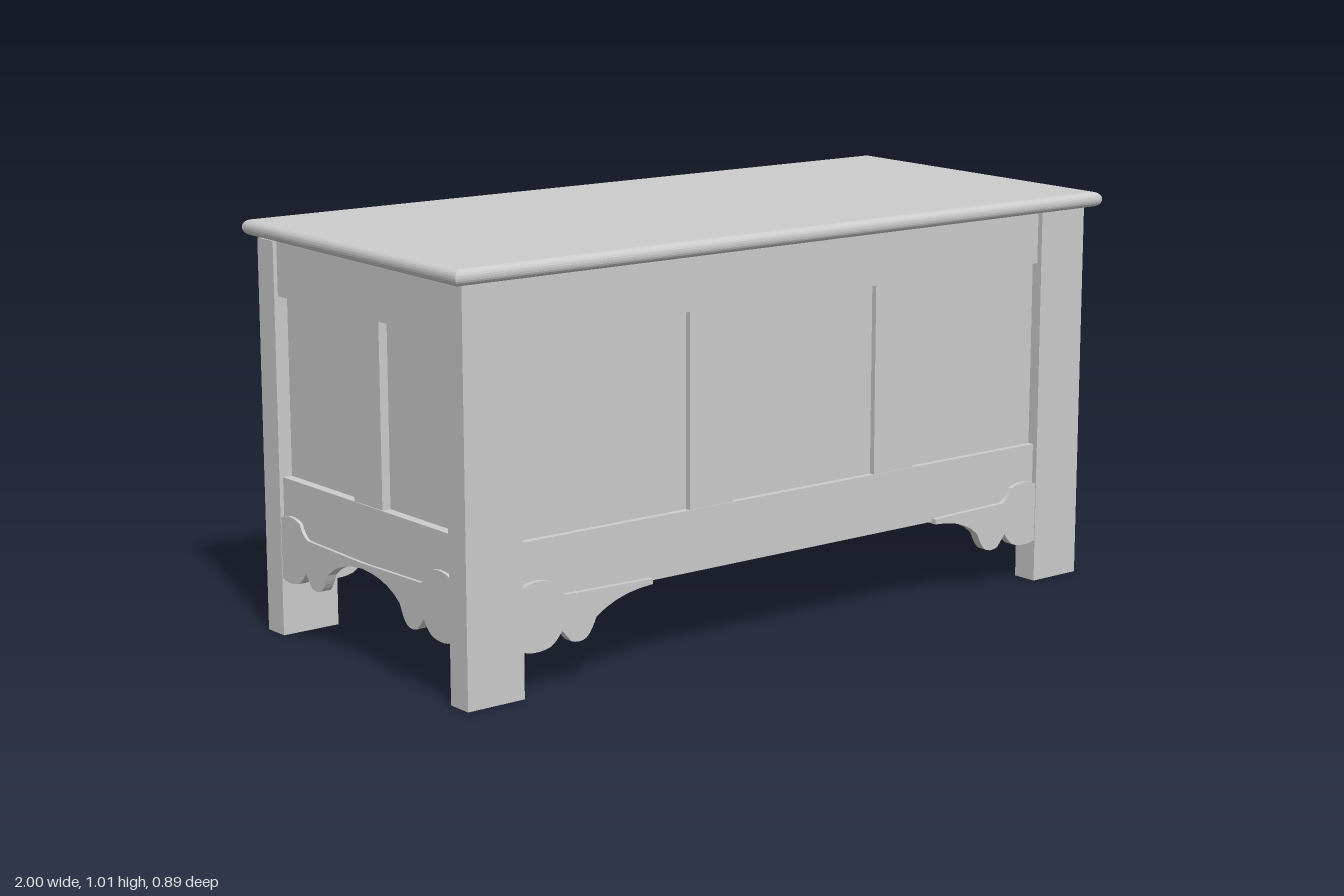
import * as THREE from 'three';

const material = new THREE.MeshStandardMaterial({ color: 0xcccccc });

// Box given by its min/max extents
function box(parent, name, x0, x1, y0, y1, z0, z1) {
  const mesh = new THREE.Mesh(new THREE.BoxGeometry(x1 - x0, y1 - y0, z1 - z0), material);
  mesh.position.set((x0 + x1) / 2, (y0 + y1) / 2, (z0 + z1) / 2);
  mesh.name = name;
  parent.add(mesh);
  return mesh;
}

// Scalloped corner bracket; starts at x = 0, its rail line at y = 0
function bracketGeometry(length, thickness) {
  const s = new THREE.Shape();
  s.moveTo(0, 0.05);
  s.quadraticCurveTo(0.045, 0.068, 0.085, 0.05);
  s.quadraticCurveTo(0.1, 0.02, 0.12, 0.015);
  s.lineTo(length, 0.01);
  s.lineTo(length, -0.003);
  s.quadraticCurveTo(length - 0.1, -0.006, 0.205, -0.052);
  s.quadraticCurveTo(0.19, -0.088, 0.175, -0.097);
  s.quadraticCurveTo(0.155, -0.106, 0.133, -0.097);
  s.lineTo(0.108, -0.068);
  s.quadraticCurveTo(0.09, -0.093, 0.075, -0.1);
  s.quadraticCurveTo(0.035, -0.112, 0, -0.1);
  return new THREE.ExtrudeGeometry(s, { depth: thickness, bevelEnabled: false, curveSegments: 5 })
    .translate(0, 0, -thickness / 2);
}

// Bracket turned about y, with its outer end at (x, y, z)
function bracket(parent, name, length, thickness, x, y, z, turn) {
  const mesh = new THREE.Mesh(bracketGeometry(length, thickness), material);
  mesh.position.set(x, y, z);
  mesh.rotation.y = turn;
  mesh.name = name;
  parent.add(mesh);
}

export function createModel() {
  const chest = new THREE.Group();
  chest.name = 'blanketChest';

  const legX = [[-0.975, -0.82], [0.8, 0.95]];
  const legZ = [[0.365, 0.432], [-0.42, -0.35]];

  // Corner legs
  for (const [x0, x1] of legX)
    for (const [z0, z1] of legZ) box(chest, 'leg', x0, x1, 0, 0.965, z0, z1);

  // Front and back: rails, recessed panel, two stiles and a pair of brackets
  for (const [name, side, rail, panel, face] of [
    ['front', 1, 0.418, 0.402, 0.43],
    ['back', -1, 0.41, 0.394, 0.423],
  ]) {
    const wall = new THREE.Group();
    wall.name = name + 'Wall';
    chest.add(wall);
    const slab = (part, x0, x1, y0, y1, outer, depth) => {
      const z = [side * outer, side * (outer - depth)].sort((a, b) => a - b);
      box(wall, name + part, x0, x1, y0, y1, z[0], z[1]);
    };
    slab('TopRail', -0.83, 0.81, 0.83, 0.965, rail, 0.035);
    slab('BottomRail', -0.83, 0.81, 0.21, 0.36, rail, 0.035);
    slab('Panel', -0.83, 0.81, 0.35, 0.84, panel, 0.015);
    for (const x of [-0.33, 0.25]) slab('Stile', x, x + 0.13, 0.355, 0.835, rail - 0.002, 0.028);
    const z = side * (face - 0.0125);
    bracket(wall, name + 'Bracket', 0.37, 0.025, -0.82, 0.208, z, 0);
    bracket(wall, name + 'Bracket', 0.352, 0.025, 0.8, 0.208, z, Math.PI);
  }

  // Ends: rails, recessed panel and one centre stile
  for (const [name, side, rail] of [['right', 1, 0.942], ['left', -1, 0.965]]) {
    const wall = new THREE.Group();
    wall.name = name + 'End';
    chest.add(wall);
    const slab = (part, y0, y1, z0, z1, outer, depth) => {
      const x = [side * outer, side * (outer - depth)].sort((a, b) => a - b);
      box(wall, name + part, x[0], x[1], y0, y1, z0, z1);
    };
    slab('TopRail', 0.832, 0.965, -0.355, 0.37, rail, 0.04);
    slab('BottomRail', 0.24, 0.392, -0.355, 0.37, rail, 0.04);
    slab('Panel', 0.385, 0.84, -0.355, 0.37, rail - 0.025, 0.015);
    slab('Stile', 0.387, 0.837, -0.037, 0.08, rail - 0.003, 0.035);
  }

  // Scalloped brackets meeting in the middle of one end only
  bracket(chest, 'leftEndBracket', 0.359, 0.025, -0.961, 0.244, 0.367, Math.PI / 2);
  bracket(chest, 'leftEndBracket', 0.359, 0.025, -0.961, 0.244, -0.351, -Math.PI / 2);

  // Floor of the chest
  box(chest, 'floor', -0.945, 0.92, 0.241, 0.256, -0.395, 0.4);

  // Lid with a mitred bullnose edge, resting slightly higher at the back
  const r = 0.018, w = 1 - r, d = 0.447 - r;
  const outline = new THREE.Shape([
    new THREE.Vector2(-w, -d), new THREE.Vector2(w, -d),
    new THREE.Vector2(w, d), new THREE.Vector2(-w, d),
  ]);
  const lidGeometry = new THREE.ExtrudeGeometry(outline, {
    depth: 0.002, bevelSize: r, bevelThickness: r, bevelSegments: 6,
  }).translate(0, 0, -0.001).rotateX(-Math.PI / 2);
  const lid = new THREE.Mesh(lidGeometry, material);
  lid.name = 'lid';
  lid.position.set(0, 0.984, 0);
  lid.rotation.x = 0.0124;
  chest.add(lid);

  return chest;
}
